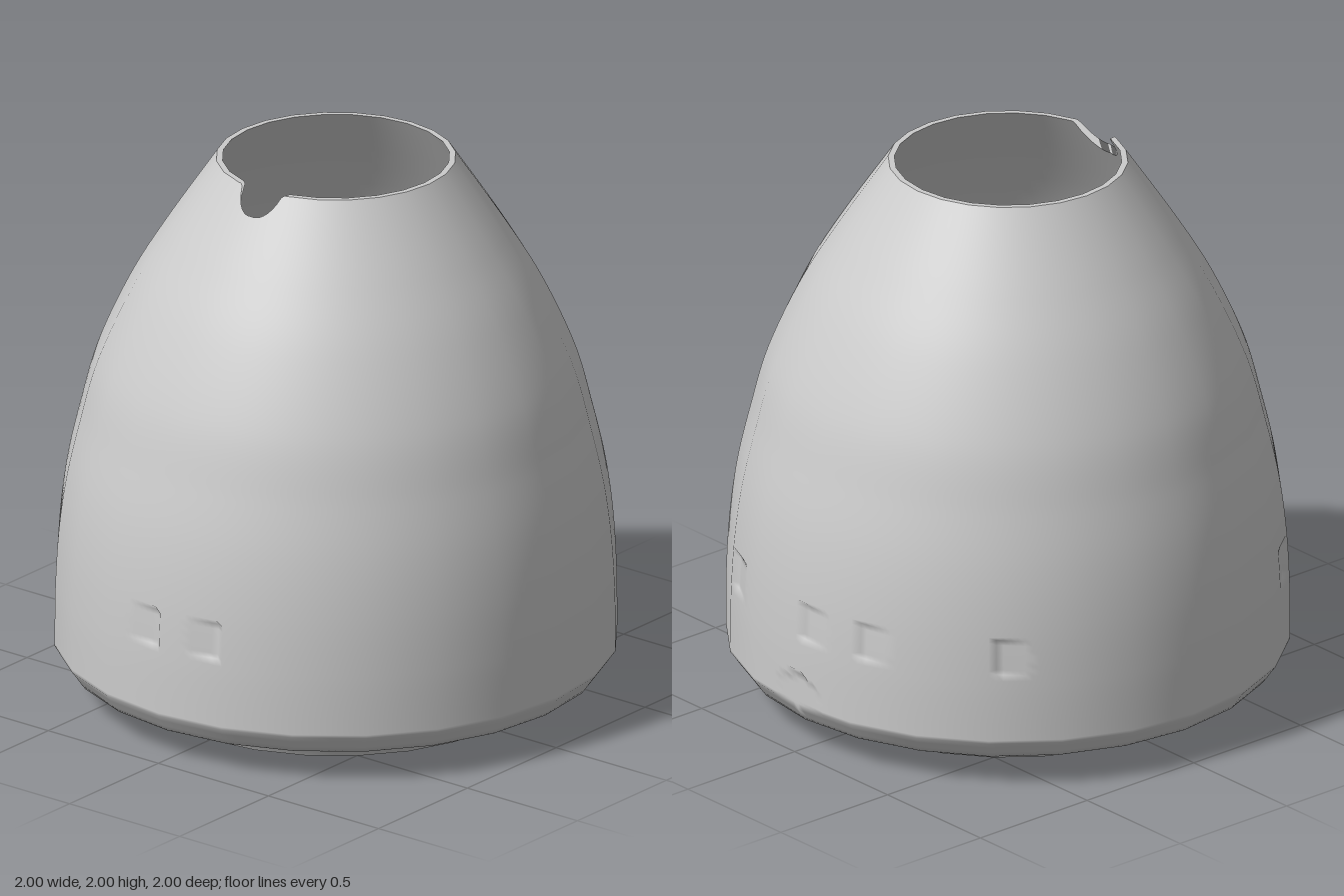
import * as THREE from 'three';

const SEGMENTS = 240, SIDES = 24, WALL = 0.028;
const v2 = (r, y) => new THREE.Vector2(r, y);
const rad = THREE.MathUtils.degToRad;

// Radius of the regular polygon outline relative to its corners
function polygonFactor(angle) {
  const step = 2 * Math.PI / SIDES;
  const a = ((angle % step) + step) % step;
  return Math.cos(step / 2) / Math.cos(a - step / 2);
}

// Height at which an upper wall profile reaches a given radius
function heightAt(profile, r) {
  for (let i = 0; i < profile.length - 1; i++) {
    const a = profile[i], b = profile[i + 1];
    if (a.y > 1.2 && (a.x - r) * (b.x - r) <= 0 && a.x !== b.x)
      return a.y + (b.y - a.y) * (r - a.x) / (b.x - a.x);
  }
  return 2;
}

// Far side of the round rim notch along a ray from the axis
function notchRadius(angle) {
  const off = angle - Math.PI, c = 0.385, radius = 0.095;
  const d = radius * radius - (c * Math.sin(off)) ** 2;
  return Math.cos(off) > 0 && d > 0 ? c * Math.cos(off) + Math.sqrt(d) : 0;
}

// Small wedge dents: angle in degrees and the way they fade out
const DENTS = [[30, -1], [0, -1], [-15, -1], [-45, -1], [225, 1], [180, 1], [165, 1]];
function dentDepth(angle, y) {
  let depth = 0;
  for (const [deg, dir] of DENTS) {
    let d = angle - rad(deg);
    d = Math.atan2(Math.sin(d), Math.cos(d)) * dir;
    const t = d / rad(9);
    if (t > 0.05 && t < 1 && Math.abs(y - 0.5) < 0.07) depth = 0.024 * (1 - t);
  }
  return depth;
}

function buildShell() {
  // Rounded outer wall, narrowing to the open top
  const wall = new THREE.SplineCurve([
    v2(1, 0.18), v2(0.998, 0.4), v2(0.985, 0.62), v2(0.958, 0.82), v2(0.913, 1.02),
    v2(0.85, 1.25), v2(0.735, 1.51), v2(0.605, 1.73), v2(0.425, 2),
  ]).getPoints(96);
  const outer = [
    v2(0, 0), v2(0.69, 0), v2(0.71, 0), v2(0.71, 0.04), v2(0.95, 0.11),
    v2(0.967, 0.133), v2(0.983, 0.157), ...wall,
  ];
  // Inner wall and floor
  const inner = wall.filter((p, i) => i % 4 === 0).reverse()
    .map((p) => v2(p.x - WALL + 0.006 * Math.max(0, p.y - 1), p.y));
  inner.push(v2(0.93, 0.14), v2(0.69, 0.06), v2(0.69, 0.06), v2(0, 0.06));
  const profile = [...outer, outer.at(-1).clone(), inner[0].clone(), ...inner];

  const geo = new THREE.LatheGeometry(profile, SEGMENTS);
  const pos = geo.attributes.position, normal = geo.attributes.normal;
  const reshaped = [];
  for (let i = 0; i < pos.count; i++) {
    const isOuter = i % profile.length <= outer.length;
    let x = pos.getX(i), y = pos.getY(i), z = pos.getZ(i);
    let r = Math.hypot(x, z);
    if (r < 1e-6) continue;
    let angle = Math.atan2(z, x);
    if (angle < 0) angle += 2 * Math.PI;
    const factor = polygonFactor(angle);
    r *= factor;

    // Round notch cut down through the rim
    const cut = notchRadius(angle);
    if (y > 1.5 && r < cut) {
      r = cut;
      y = heightAt(isOuter ? outer : inner, cut / factor);
    }
    // Dents in the outer wall
    const depth = isOuter ? dentDepth(angle, y) : 0;
    if (depth > 0) reshaped.push(i);
    r -= depth;

    x = r * Math.cos(angle);
    z = r * Math.sin(angle);
    // Flat oval port on the left side
    if (isOuter && x > 0.981 && (z / 0.13) ** 2 + ((y - 0.225) / 0.075) ** 2 < 1) {
      x = 0.981;
      reshaped.push(i);
    }
    pos.setXYZ(i, x, y, z);
  }

  // Smooth round shading everywhere except in the dents and the port
  const smooth = normal.clone();
  geo.computeVertexNormals();
  for (const i of reshaped)
    smooth.setXYZ(i, normal.getX(i), normal.getY(i), normal.getZ(i));
  geo.setAttribute('normal', smooth);
  return geo;
}

export function createModel() {
  const group = new THREE.Group();
  const material = new THREE.MeshStandardMaterial({ color: 0xcccccc, side: THREE.DoubleSide });
  const shell = new THREE.Mesh(buildShell(), material);
  shell.name = 'hollowShell';
  group.add(shell);
  return group;
}
